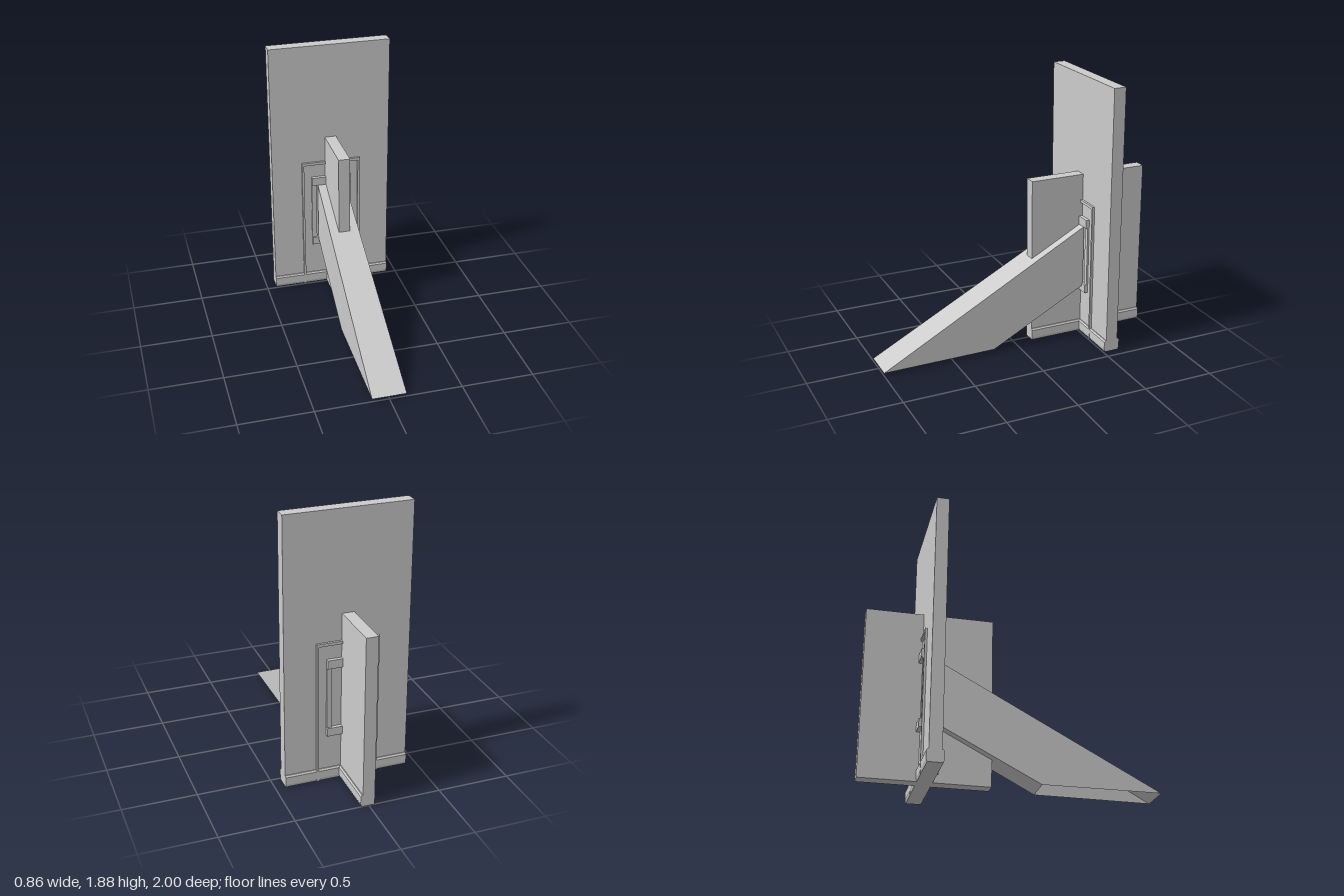
import * as THREE from 'three';

export function createModel() {
  const group = new THREE.Group();
  const mat = new THREE.MeshStandardMaterial({ color: 0xcccccc, flatShading: true });
  const matDouble = new THREE.MeshStandardMaterial({ color: 0xcccccc, flatShading: true, side: THREE.DoubleSide });

  const add = (name, geometry, material = mat) => {
    const mesh = new THREE.Mesh(geometry, material);
    mesh.name = name;
    group.add(mesh);
    return mesh;
  };
  // Box given by its limits on each axis
  const box = (name, x0, x1, y0, y1, z0, z1) => {
    const mesh = add(name, new THREE.BoxGeometry(x1 - x0, y1 - y0, z1 - z0));
    mesh.position.set((x0 + x1) / 2, (y0 + y1) / 2, (z0 + z1) / 2);
  };

  // Crossing walls
  const back = -0.608, front = -0.522, mid = (back + front) / 2;
  box('mainWall', -0.432, 0.432, 0, 1.885, back, front);
  box('crossWall', -0.041, 0.041, 0, 1.19, -1, -0.13);

  // Skirting boards: moulded profile, extruded along a wall face
  const skirting = (name, length, x, z, turn) => {
    const profile = new THREE.Shape([
      [0, 0], [0.008, 0], [0.015, 0.02], [0.015, 0.074], [0.006, 0.085], [0, 0.085],
    ].map(([px, py]) => new THREE.Vector2(px, py)));
    const geometry = new THREE.ExtrudeGeometry(profile, { depth: length, bevelEnabled: false });
    geometry.translate(0, 0, -length / 2);
    const mesh = add(name, geometry);
    mesh.position.set(x, 0, z);
    mesh.rotation.y = turn;
  };
  skirting('frontSkirting', 0.864, 0, front, -Math.PI / 2);
  skirting('backSkirting', 0.864, 0, back, Math.PI / 2);
  skirting('crossWallSkirting', 0.87, 0.041, -0.565, 0);

  // Door trim and raised inner frame on both faces of the main wall
  for (const [side, face, dir] of [['front', front, 1], ['back', back, -1]]) {
    const slab = (name, x0, x1, y0, y1, depth) => {
      const z = face + dir * depth;
      box(side + name, x0, x1, y0, y1, Math.min(face, z), Math.max(face, z));
    };
    slab('DoorTrimTop', -0.215, 0.215, 0.985, 1.005, 0.016);
    slab('FrameTopRail', -0.145, 0.145, 0.825, 0.885, 0.025);
    slab('FrameBottomRail', -0.145, 0.145, 0.335, 0.393, 0.025);
    for (const s of [-1, 1]) {
      const post = (name, a, b, y0, y1, d) => slab(name, Math.min(s * a, s * b), Math.max(s * a, s * b), y0, y1, d);
      post('DoorTrimPost', 0.2, 0.215, 0, 0.985, 0.016);
      post('FramePost', 0.11, 0.145, 0.393, 0.825, 0.012);
    }
  }

  // Sloping buttress: hollow, open at the foot, widening towards the front
  const outline = [[1, 0.02], [-0.505, 0.825], [-0.505, 0.38], [0.19, 0.02]];
  const halfWidth = (z) => 0.101 + (z + 0.505) * 0.011;
  const positions = [];
  for (const s of [1, -1]) {
    for (const [z, y] of outline) positions.push(s * halfWidth(z), y, z);
  }
  const index = [0, 2, 1, 0, 3, 2, 4, 5, 6, 4, 6, 7]; // two cheeks
  for (let i = 0; i < 3; i++) index.push(i, i + 1, i + 5, i, i + 5, i + 4); // top, wall end, underside
  // Reverse the cheeks so every face looks outward
  for (let i = 0; i < 12; i += 3) [index[i + 1], index[i + 2]] = [index[i + 2], index[i + 1]];
  let buttress = new THREE.BufferGeometry();
  buttress.setAttribute('position', new THREE.Float32BufferAttribute(positions, 3));
  buttress.setIndex(index);
  buttress = buttress.toNonIndexed();
  buttress.computeVertexNormals();
  add('buttress', buttress, matDouble);

  return group;
}
